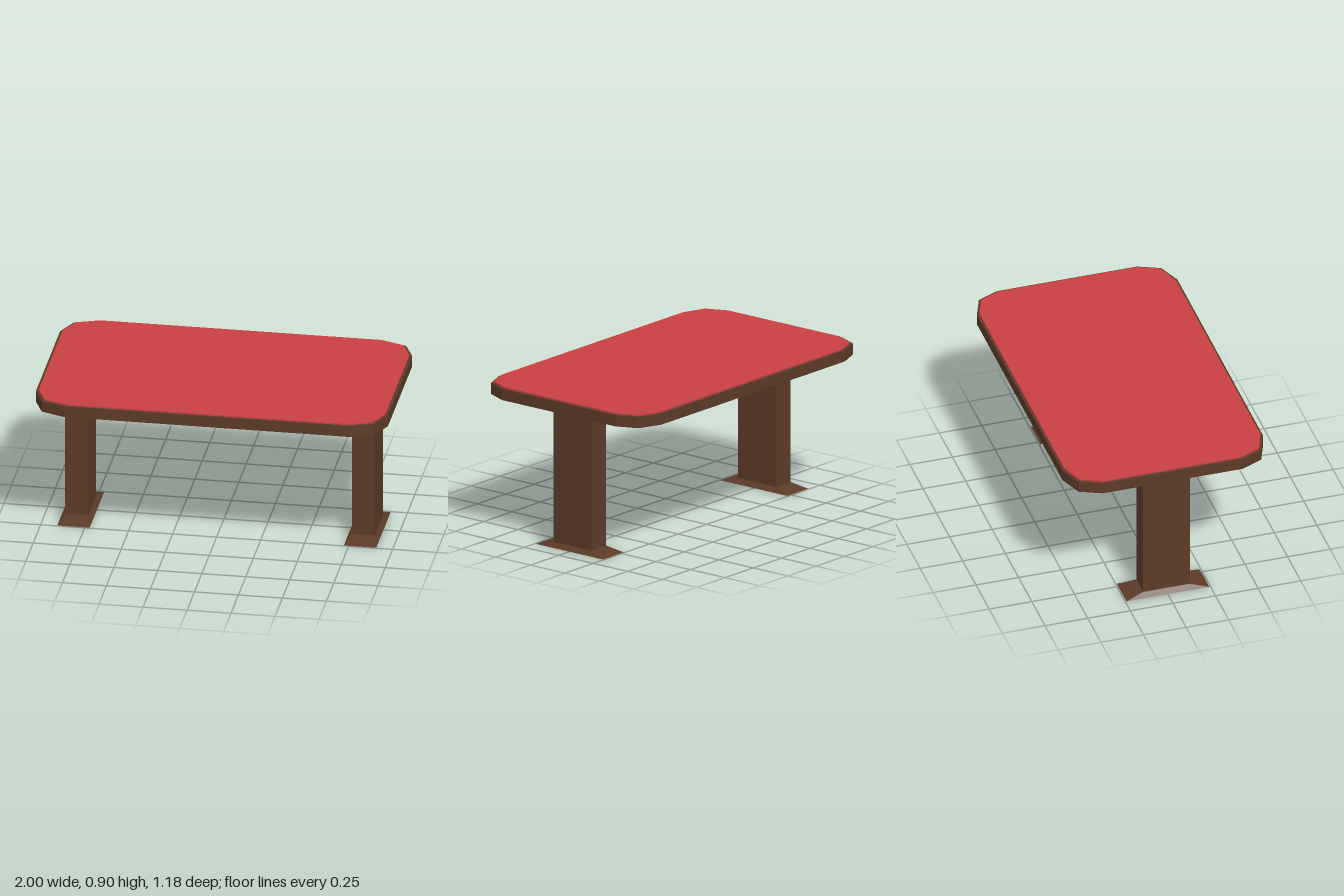
import * as THREE from 'three';

const wood = new THREE.MeshStandardMaterial({ color: 0x5c3a28, flatShading: true });
const felt = new THREE.MeshStandardMaterial({ color: 0xc84042, flatShading: true });

// Horizontal slab with faceted corners; corner = three points of the +x +z quadrant
function slab(name, corner, y0, y1, material) {
  const back = [...corner].reverse();
  const outline = [
    ...corner,
    ...back.map(([x, z]) => [-x, z]),
    ...corner.map(([x, z]) => [-x, -z]),
    ...back.map(([x, z]) => [x, -z]),
  ].map(([x, z]) => new THREE.Vector2(x, z));
  const geo = new THREE.ExtrudeGeometry(new THREE.Shape(outline), { depth: y1 - y0, bevelEnabled: false });
  geo.rotateX(-Math.PI / 2);
  geo.translate(0, y0, 0);
  const mesh = new THREE.Mesh(geo, material);
  mesh.name = name;
  return mesh;
}

// Box standing on y0, its top face scaled in to topW x topD
function block(name, w, h, d, y0, topW = w, topD = d) {
  const geo = new THREE.BoxGeometry(w, h, d);
  const p = geo.attributes.position;
  for (let i = 0; i < p.count; i++) {
    if (p.getY(i) > 0) {
      p.setX(i, Math.sign(p.getX(i)) * topW / 2);
      p.setZ(i, Math.sign(p.getZ(i)) * topD / 2);
    }
  }
  geo.translate(0, y0 + h / 2, 0);
  geo.computeVertexNormals();
  const mesh = new THREE.Mesh(geo, wood);
  mesh.name = name;
  return mesh;
}

export function createModel() {
  const table = new THREE.Group();
  table.name = 'table';

  // Wooden top with a slightly smaller red inlay raised above it
  table.add(slab('tableTop', [[1, 0.41], [0.945, 0.535], [0.81, 0.588]], 0.83, 0.895, wood));
  table.add(slab('redSurface', [[0.985, 0.403], [0.931, 0.526], [0.8, 0.575]], 0.89, 0.903, felt));

  // Slab legs on flared feet
  for (const [side, s] of [['left', 1], ['right', -1]]) {
    const leg = new THREE.Group();
    leg.name = side + 'Leg';
    leg.add(block('post', 0.13, 0.806, 0.274, 0.026));
    leg.add(block('foot', 0.184, 0.026, 0.486, 0, 0.13, 0.274));
    leg.position.x = s * 0.814;
    table.add(leg);
  }
  return table;
}
